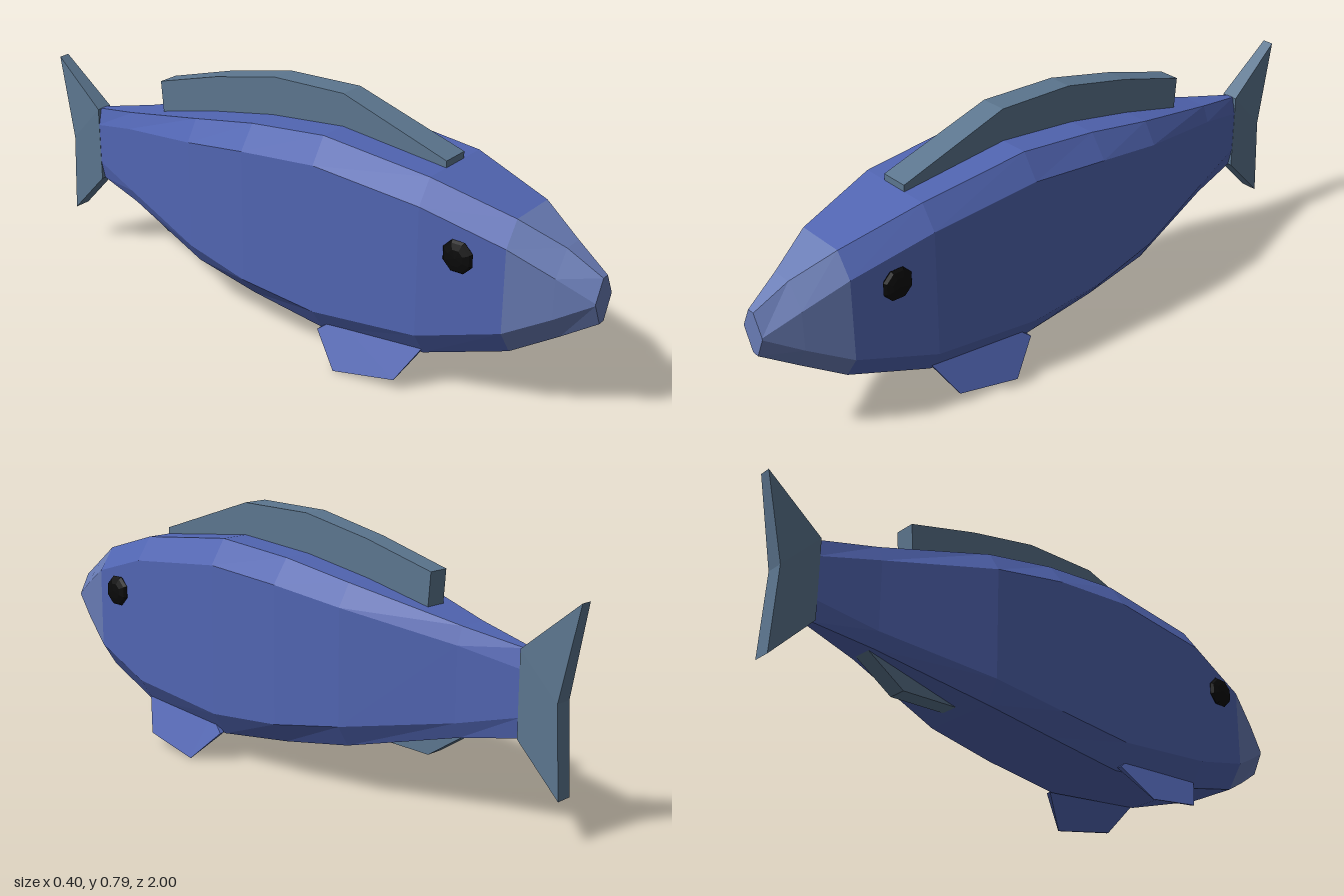
import * as THREE from 'three';

const mat = (name, color) => Object.assign(new THREE.MeshStandardMaterial({ color }), { name });

// Faceted octagonal skin; rows are [z, topY, bottomY, halfWidth, flatHalfWidth, sideTopY, sideBottomY]
function loft(rows, capFront, capBack) {
  const rings = rows.map(([z, t, b, w, f, st, sb]) =>
    [[w, sb], [w, st], [f, t], [-f, t], [-w, st], [-w, sb], [-f, b], [f, b]].map(([x, y]) => [x, y, z]));
  const pos = [];
  const tri = (...pts) => pts.forEach((p) => pos.push(...p));
  for (let i = 0; i < rings.length - 1; i++) {
    for (let j = 0; j < 8; j++) {
      const k = (j + 1) % 8;
      const a = rings[i], b = rings[i + 1];
      tri(a[j], b[j], b[k]);
      tri(a[j], b[k], a[k]);
    }
  }
  const first = rings[0], last = rings[rings.length - 1];
  for (let j = 1; j < 7; j++) {
    if (capFront) tri(first[0], first[j], first[j + 1]);
    if (capBack) tri(last[0], last[j + 1], last[j]);
  }
  const geo = new THREE.BufferGeometry();
  geo.setAttribute('position', new THREE.Float32BufferAttribute(pos, 3));
  geo.computeVertexNormals();
  return geo;
}

// Fin from a (z, y) outline; xAt gives x from side (-1 or 1), y and z
function fin(outline, xAt) {
  const shape = new THREE.Shape(outline.map(([z, y]) => new THREE.Vector2(z, y)));
  const geo = new THREE.ExtrudeGeometry(shape, { depth: 2, bevelEnabled: false });
  geo.translate(0, 0, -1).rotateY(-Math.PI / 2);
  const p = geo.attributes.position;
  for (let i = 0; i < p.count; i++) p.setX(i, xAt(Math.sign(p.getX(i)), p.getY(i), p.getZ(i)));
  geo.computeVertexNormals();
  return geo;
}

export function createModel() {
  const group = new THREE.Group();
  const bodyBlue = mat('body blue', 0x5165b2);
  const headBlue = mat('head grey blue', 0x687bb4);
  const finGrey = mat('fin slate', 0x5c768f);
  const eyeBlack = mat('eye black', 0x0a0a0a);
  const add = (name, geo, material) => {
    const mesh = new THREE.Mesh(geo, material);
    mesh.name = name;
    group.add(mesh);
    return mesh;
  };

  // Head and body share the ring behind the cheeks
  const neck = [0.775, 0.59, 0.195, 0.13, 0.08, 0.52, 0.27];
  add('head', loft([
    [1, 0.46, 0.325, 0.045, 0.012, 0.398, 0.392],
    [0.9, 0.525, 0.262, 0.085, 0.032, 0.455, 0.335],
    neck,
  ], true, false), headBlue);
  add('body', loft([
    neck,
    [0.53, 0.66, 0.125, 0.174, 0.125, 0.59, 0.2],
    [0.18, 0.697, 0.09, 0.182, 0.132, 0.622, 0.163],
    [-0.08, 0.672, 0.122, 0.182, 0.13, 0.6, 0.185],
    [-0.31, 0.63, 0.158, 0.158, 0.118, 0.565, 0.222],
    [-0.65, 0.55, 0.24, 0.065, 0.045, 0.5, 0.285],
    [-0.83, 0.515, 0.27, 0.025, 0.012, 0.46, 0.33],
  ], false, true), bodyBlue);

  // Fins along the centre line
  add('dorsalFin', fin(
    [[0.53, 0.68], [0.18, 0.795], [-0.07, 0.79], [-0.3, 0.742], [-0.53, 0.678], [-0.52, 0.55], [0.18, 0.6], [0.53, 0.64]],
    (s, y, z) => s * (0.039 + 0.011 * z)), finGrey);
  add('analFin', fin(
    [[-0.28, 0.19], [-0.31, 0.168], [-0.53, 0.16], [-0.66, 0.245], [-0.53, 0.25]],
    (s) => s * 0.028), finGrey);
  add('tailFin', fin(
    [[-0.825, 0.515], [-1, 0.66], [-0.945, 0.39], [-0.96, 0.13], [-0.825, 0.27]],
    (s, y, z) => s * (z < -0.98 ? 0.018 : 0.027)), finGrey);

  // Paired fins and eyes
  for (const side of [1, -1]) {
    const label = side > 0 ? 'left' : 'right';
    add(label + 'PectoralFin', fin(
      [[0.53, 0.14], [0.47, 0.04], [0.27, 0.005], [0.18, 0.095], [0.24, 0.14]],
      (s, y) => side * (0.199 - 0.55 * (y - 0.005)) + s * (0.001 + 0.07 * (y - 0.005))), bodyBlue);
    const eyeGeo = new THREE.SphereGeometry(0.05, 8, 6).toNonIndexed();
    eyeGeo.rotateZ(Math.PI / 2).rotateX(Math.PI / 8).scale(0.34, 1, 1);
    eyeGeo.computeVertexNormals();
    add(label + 'Eye', eyeGeo, eyeBlack).position.set(side * 0.163, 0.475, 0.65);
  }
  return group;
}
